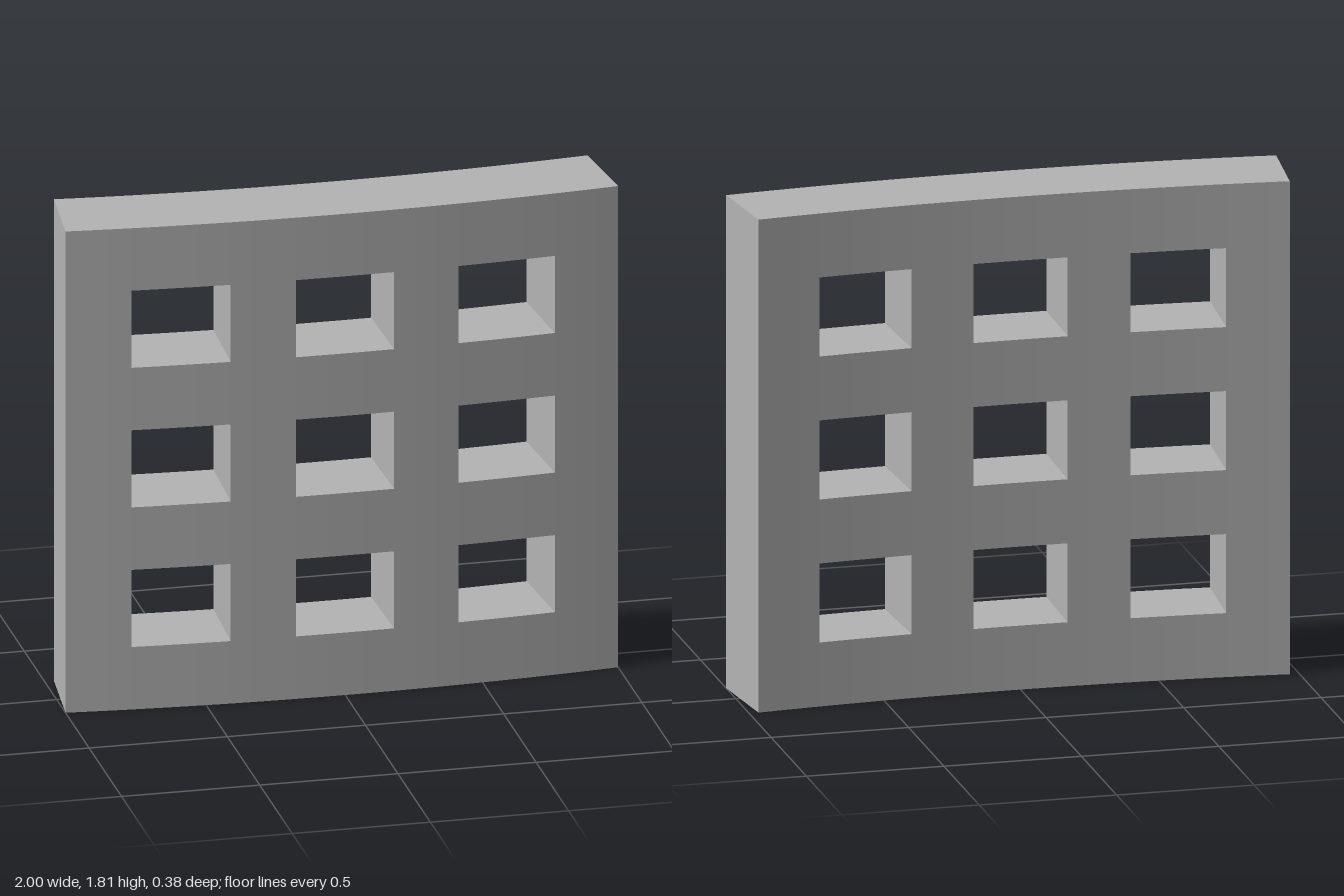
import * as THREE from 'three';

export function createModel() {
  const stone = new THREE.MeshStandardMaterial({ color: 0xb4b4b4 });
  stone.name = 'plain grey';

  // Gently curved slab: both faces share one vertical axis behind the wall
  const outerR = 9.63, thickness = 0.327, frontZ = 0.188;
  const innerR = outerR - thickness;
  const halfAngle = Math.asin(1 / outerR);
  const bar = 0.235, openW = (2 - 4 * bar) / 3, openH = 0.29;
  const split = 3; // facets per bar or opening

  // Edges along the arc and up the wall: bar, opening, bar, ... bar
  const angles = [-halfAngle], heights = [0];
  for (let i = 0; i < 7; i++) {
    const w = (i % 2 ? openW : bar) * halfAngle;
    const start = angles[angles.length - 1];
    for (let s = 1; s <= split; s++) angles.push(start + (w * s) / split);
    heights.push(heights[i] + (i % 2 ? openH : bar));
  }

  const columns = 7 * split;
  const solid = (c, r) => c >= 0 && c < columns && r >= 0 && r < 7 &&
    !(Math.floor(c / split) % 2 && r % 2);
  const point = (c, r, R) => [
    R * Math.sin(angles[c]), heights[r], R * Math.cos(angles[c]) - outerR + frontZ,
  ];

  const positions = [];
  const quad = (a, b, c, d) => positions.push(...a, ...b, ...c, ...a, ...c, ...d);

  // Each solid cell gets a front and back, and a wall beside every gap
  for (let c = 0; c < columns; c++) {
    for (let r = 0; r < 7; r++) {
      if (!solid(c, r)) continue;
      const [f0, f1, f2, f3] = [[c, r], [c + 1, r], [c + 1, r + 1], [c, r + 1]].map(([i, j]) => point(i, j, outerR));
      const [b0, b1, b2, b3] = [[c, r], [c + 1, r], [c + 1, r + 1], [c, r + 1]].map(([i, j]) => point(i, j, innerR));
      quad(f0, f1, f2, f3);
      quad(b1, b0, b3, b2);
      if (!solid(c + 1, r)) quad(f1, b1, b2, f2);
      if (!solid(c - 1, r)) quad(b0, f0, f3, b3);
      if (!solid(c, r + 1)) quad(f3, f2, b2, b3);
      if (!solid(c, r - 1)) quad(b0, b1, f1, f0);
    }
  }

  const geometry = new THREE.BufferGeometry();
  geometry.setAttribute('position', new THREE.Float32BufferAttribute(positions, 3));
  geometry.computeVertexNormals();

  const wall = new THREE.Mesh(geometry, stone);
  wall.name = 'curvedWallWithOpenings';
  const group = new THREE.Group();
  group.name = 'curvedLatticePanel';
  group.add(wall);
  return group;
}
